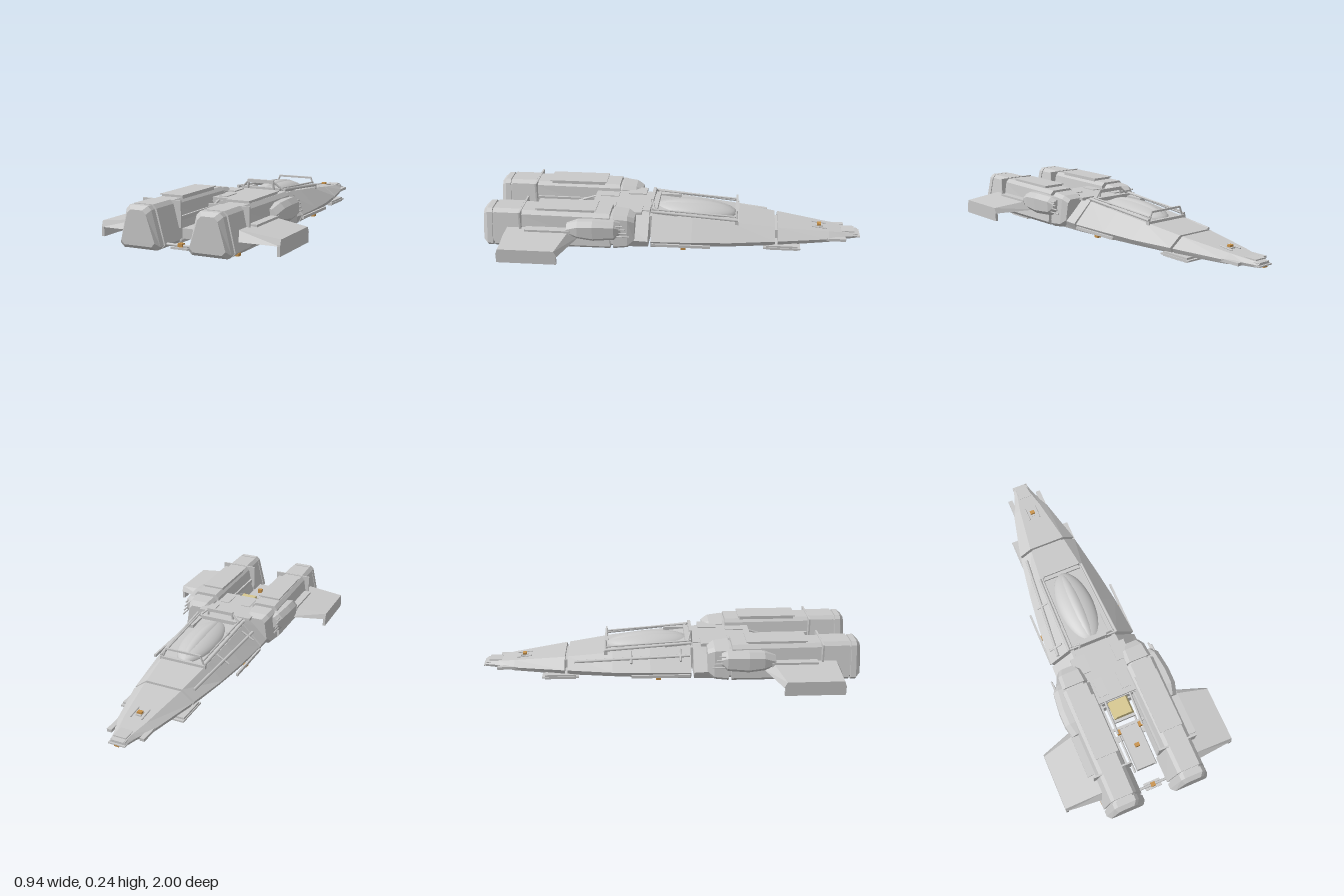
import * as THREE from 'three';

export function createModel() {
  const ship = new THREE.Group();
  ship.name = 'starship';
  const mat = (name, color) => {
    const m = new THREE.MeshStandardMaterial({ color });
    m.name = name;
    return m;
  };
  const grey = mat('hull grey', 0xc9c9c9);
  const tan = mat('engine tan', 0xd6c790);
  const amber = mat('lamp amber', 0xc8924a);

  const add = (name, geo, m = grey) => {
    const mesh = new THREE.Mesh(geo, m);
    mesh.name = name;
    ship.add(mesh);
    return mesh;
  };
  // box given by its extents
  const box = (name, x0, x1, y0, y1, z0, z1, m) => {
    const g = new THREE.BoxGeometry(Math.abs(x1 - x0), y1 - y0, z1 - z0);
    return add(name, g.translate((x0 + x1) / 2, (y0 + y1) / 2, (z0 + z1) / 2), m);
  };
  // round rod between two points
  const rod = (name, a, b, r, m) => {
    const p = new THREE.Vector3(...a), q = new THREE.Vector3(...b);
    const mesh = add(name, new THREE.CylinderGeometry(r, r, p.distanceTo(q), 8), m);
    mesh.position.copy(p).lerp(q, 0.5);
    mesh.quaternion.setFromUnitVectors(new THREE.Vector3(0, 1, 0), q.sub(p).normalize());
    return mesh;
  };
  // faceted loft through counter-clockwise sections [{ z, p: [[x, y], ...] }], z rising
  const loft = (name, sections, side = 1, m) => {
    const rings = sections.map(({ z, p }) => {
      const ring = p.map(([x, y]) => [x * side, y, z]);
      return side < 0 ? ring.reverse() : ring;
    });
    const v = [], n = rings[0].length;
    const tri = (a, b, c) => v.push(...a, ...b, ...c);
    for (let i = 0; i < rings.length - 1; i++) {
      for (let j = 0; j < n; j++) {
        const k = (j + 1) % n, r = rings[i], s = rings[i + 1];
        tri(r[j], r[k], s[k]);
        tri(r[j], s[k], s[j]);
      }
    }
    const first = rings[0], last = rings[rings.length - 1];
    for (let j = 1; j < n - 1; j++) {
      tri(first[0], first[j + 1], first[j]);
      tri(last[0], last[j], last[j + 1]);
    }
    const g = new THREE.BufferGeometry();
    g.setAttribute('position', new THREE.Float32BufferAttribute(v, 3));
    g.computeVertexNormals();
    return add(name, g, m);
  };

  // Hull: flat belly, low chine, sloping sides, narrow deck
  const hull = (z, w, t, h, chine = 0.06, b = 0.032) => ({
    z, p: [[-w * 0.92, b], [w * 0.92, b], [w, chine], [t, h], [-t, h], [-w, chine]],
  });
  loft('noseHull', [
    hull(-0.99, 0.04, 0.03, 0.058, 0.048, 0.036), hull(-0.92, 0.06, 0.04, 0.066, 0.05, 0.035),
    hull(-0.83, 0.1, 0.06, 0.078, 0.052), hull(-0.555, 0.165, 0.1, 0.11),
  ]);
  loft('cockpitHull', [
    hull(-0.54, 0.167, 0.1, 0.112), hull(-0.3, 0.205, 0.125, 0.142),
    hull(-0.1, 0.23, 0.135, 0.162, 0.066), hull(0.115, 0.245, 0.14, 0.182, 0.07, 0.03),
  ]);
  loft('rearHull', [
    hull(0.13, 0.245, 0.13, 0.184, 0.07, 0.03), hull(0.31, 0.25, 0.13, 0.188, 0.08, 0.03),
  ]);
  box('noseJoint', -0.09, 0.09, 0.042, 0.09, -0.57, -0.53);
  box('rearJoint', -0.13, 0.13, 0.04, 0.165, 0.1, 0.15);
  box('rearDeck', -0.115, 0.115, 0.1, 0.19, 0.13, 0.45);
  box('rearBelly', -0.11, 0.11, 0.03, 0.1, 0.3, 0.46);

  // Nose tip, sensor plates and deck dashes
  for (let i = 0; i < 3; i++) {
    box('noseSensor', -0.045 + i * 0.006, 0.045 - i * 0.006, 0.04 + i * 0.012, 0.046 + i * 0.012, -1 + i * 0.015, -0.93 + i * 0.015);
  }
  box('noseSpine', -0.015, 0.015, 0.07, 0.088, -0.8, -0.76);
  for (const x of [-0.03, 0.03]) {
    rod('deckProbe', [x, 0.082, -0.82], [x, 0.09, -0.74], 0.004);
  }

  // Canopy with raised centre pane
  const dome = (name, w, h, l, y) => {
    const g = new THREE.SphereGeometry(1, 32, 16).scale(w, h, l);
    g.rotateX(-0.05).translate(0, y, -0.11);
    return add(name, g);
  };
  dome('canopy', 0.1, 0.052, 0.225, 0.15);
  dome('canopyCentrePane', 0.052, 0.06, 0.222, 0.148);
  box('windshieldSill', -0.13, 0.13, 0.13, 0.15, -0.345, -0.325);
  box('windshieldBar', -0.1, 0.1, 0.19, 0.2, -0.338, -0.328);
  box('cockpitBulkhead', -0.11, 0.11, 0.165, 0.2, 0.09, 0.12);
  box('rollBar', -0.075, 0.075, 0.222, 0.24, 0.112, 0.128);

  for (const s of [-1, 1]) {
    // Cockpit frame
    rod('windshieldPost', [s * 0.12, 0.14, -0.333], [s * 0.097, 0.198, -0.333], 0.005);
    rod('rollBarPost', [s * 0.08, 0.17, 0.12], [s * 0.07, 0.235, 0.12], 0.007);
    rod('rollBarBrace', [s * 0.125, 0.185, 0.1], [s * 0.07, 0.235, 0.12], 0.005);
    rod('canopyRail', [s * 0.125, 0.155, -0.34], [s * 0.138, 0.195, 0.12], 0.008);
    rod('canopySideStrut', [s * 0.112, 0.17, -0.33], [s * 0.12, 0.2, 0.11], 0.005);
    box('cockpitLedge', s * 0.1, s * 0.135, 0.15, 0.188, -0.02, 0.1);

    // Hull side plates, thin rails and deck boxes
    box('nosePlate', s * 0.075, s * 0.1, 0.04, 0.055, -0.92, -0.81);
    box('sideRail', s * 0.238, s * 0.249, 0.045, 0.06, -0.2, 0.11);
    box('deckBox', s * 0.075, s * 0.155, 0.18, 0.196, 0.17, 0.27);
    box('deckVent', s * 0.04, s * 0.09, 0.188, 0.194, 0.32, 0.42);

    // Engine: chamfered trapezoid tube in stages
    const eng = (z, b, t, y0, y1, c = 0.018) => ({
      z, p: [[0.18 - b + c, y0], [0.18 + b - c, y0], [0.18 + b, y0 + c], [0.183 + t, y1 - c],
        [0.183 + t - c, y1], [0.183 - t + c, y1], [0.183 - t, y1 - c], [0.18 - b, y0 + c]],
    });
    loft('engineIntake', [
      eng(0.2, 0.068, 0.05, 0.06, 0.19), eng(0.235, 0.085, 0.065, 0.035, 0.208), eng(0.31, 0.09, 0.07, 0.028, 0.216),
    ], s);
    loft('engineNeck', [eng(0.305, 0.08, 0.06, 0.04, 0.205), eng(0.335, 0.08, 0.06, 0.04, 0.205)], s);
    loft('engineBody', [
      eng(0.325, 0.098, 0.075, 0.032, 0.224), eng(0.81, 0.1, 0.07, 0.032, 0.226),
    ], s);
    loft('engineRing', [eng(0.8, 0.107, 0.069, 0.03, 0.231), eng(0.94, 0.107, 0.068, 0.03, 0.231)], s);
    loft('engineGroove', [eng(0.935, 0.098, 0.06, 0.038, 0.222), eng(0.955, 0.098, 0.06, 0.038, 0.222)], s);
    loft('engineCap', [
      eng(0.95, 0.107, 0.066, 0.03, 0.23), eng(0.978, 0.107, 0.066, 0.03, 0.23), eng(1, 0.09, 0.05, 0.048, 0.212),
    ], s);
    box('engineBulkhead', s * 0.075, s * 0.284, 0.1, 0.23, 0.792, 0.801);
    box('engineTopHatch', s * 0.12, s * 0.236, 0.22, 0.234, 0.41, 0.71);
    box('engineTopLid', s * 0.116, s * 0.24, 0.234, 0.239, 0.4, 0.72);
    box('engineInnerRail', s * 0.09, s * 0.115, 0.13, 0.15, 0.45, 0.79);

    // Side pod with prongs
    const pod = (z, x1, y0, y1) => ({
      z, p: [[0.22, y0], [x1 - 0.02, y0], [x1, y0 + 0.02], [x1, y1 - 0.025], [x1 - 0.025, y1], [0.22, y1]],
    });
    loft('sidePod', [
      pod(0.27, 0.285, 0.12, 0.182), pod(0.3, 0.302, 0.095, 0.197), pod(0.41, 0.314, 0.09, 0.202),
      pod(0.49, 0.313, 0.1, 0.198), pod(0.55, 0.298, 0.115, 0.175),
    ], s);
    for (let i = 0; i < 4; i++) {
      rod('podProng', [s * 0.285, 0.115 + i * 0.02, 0.31], [s * 0.285, 0.115 + i * 0.02, 0.22 + i * 0.012], 0.004);
    }
    box('podFairing', s * 0.25, s * 0.305, 0.1, 0.145, 0.53, 0.77);

    // Tapered wing and hanging tip fin
    const wingShape = (y, x, z) => [x * s, y, z];
    const root = [[0.09, 0.49], [0.14, 0.53], [0.14, 0.87], [0.09, 0.9]];
    const tip = [[0.085, 0.565], [0.115, 0.58], [0.115, 0.87], [0.085, 0.88]];
    const r = root.map(([y, z]) => wingShape(y, 0.25, z));
    const t = tip.map(([y, z]) => wingShape(y, 0.47, z));
    const v = [];
    const quad = (a, b, c, d) => v.push(...(s > 0 ? [a, b, c, a, c, d] : [a, c, b, a, d, c]).flat());
    for (let i = 0; i < 4; i++) {
      const k = (i + 1) % 4;
      quad(r[i], r[k], t[k], t[i]);
    }
    quad(t[0], t[1], t[2], t[3]);
    quad(r[3], r[2], r[1], r[0]);
    const wing = new THREE.BufferGeometry();
    wing.setAttribute('position', new THREE.Float32BufferAttribute(v, 3));
    wing.computeVertexNormals();
    add('wing', wing);
    box('wingTipFin', s * 0.456, s * 0.47, 0.04, 0.09, 0.57, 0.88);

    // Lamps
    box('wingRootLamp', s * 0.265, s * 0.287, 0.03, 0.043, 0.89, 0.915, amber);
    box('hullSideLamp', s * 0.222, s * 0.243, 0.03, 0.045, -0.07, -0.045, amber);
    box('bayLamp', s * 0.052, s * 0.07, 0.095, 0.122, 0.6, 0.625, amber);
    // Bay struts
    rod('bayUpperStrut', [s * 0.07, 0.18, 0.44], [s * 0.07, 0.12, 0.62], 0.006);
    rod('bayLowerStrut', [s * 0.06, 0.06, 0.44], [s * 0.06, 0.05, 0.83], 0.006);
  }

  // Ribbed landing pads
  const pad = (name, x0, x1, y, z0, z1) => {
    box(name, x0, x1, y + 0.006, 0.036, z0 + 0.015, z1 - 0.015);
    box(name + 'Rim', x0 - 0.004, x1 + 0.004, y + 0.012, y + 0.02, z0, z1);
    for (let i = 0; i < 5; i++) {
      const z = z0 + 0.03 + (z1 - z0 - 0.075) * i / 4;
      box(name + 'Rib', x0 + 0.012, x1 - 0.012, y, y + 0.007, z, z + 0.015);
    }
  };
  pad('centrePad', -0.065, 0.065, 0, -0.15, 0.04);
  for (const s of [-1, 1]) {
    pad('frontPad', s * 0.12 - 0.05, s * 0.12 + 0.05, 0.006, -0.675, -0.48);
    pad('rearPad', s * 0.175 - 0.068, s * 0.175 + 0.068, 0.01, 0.58, 0.77);
  }

  // Engine bay between the nacelles
  const tanEnd = (z) => ({ z, p: [[-0.055, 0.105], [0.055, 0.105], [0.055, 0.13], [0.042, 0.16], [-0.042, 0.16], [-0.055, 0.13]] });
  loft('reactor', [tanEnd(0.44), tanEnd(0.545)], 1, tan);
  box('reactorCollar', -0.058, 0.058, 0.09, 0.115, 0.535, 0.56);
  box('bayCore', -0.05, 0.05, 0.06, 0.108, 0.6, 0.83);
  box('bayCrossbar', -0.09, 0.09, 0.1, 0.112, 0.585, 0.6);
  box('bayUpperBar', -0.11, 0.11, 0.165, 0.175, 0.44, 0.455);
  box('bayFloorBeam', -0.1, 0.1, 0.04, 0.055, 0.62, 0.65);
  rod('rearCrossbar', [-0.11, 0.05, 0.92], [0.11, 0.05, 0.92], 0.007);
  box('rearCrossPlate', -0.045, 0.045, 0.035, 0.045, 0.9, 0.94);

  // Centreline lamps
  box('coreLamp', -0.012, 0.012, 0.108, 0.13, 0.7, 0.72, amber);
  box('rearLamp', -0.012, 0.012, 0.045, 0.062, 0.91, 0.932, amber);
  box('noseDeckLamp', -0.013, 0.013, 0.086, 0.098, -0.79, -0.77, amber);
  box('noseTipLamp', -0.012, 0.012, 0.034, 0.042, -1, -0.975, amber);

  // Long conduit along the right flank
  rod('flankConduit', [-0.145, 0.1, -0.5], [-0.2, 0.15, 0.11], 0.008);
  for (const [x, y, z] of [[-0.168, 0.118, -0.2], [-0.198, 0.14, 0.06]]) {
    rod('conduitClamp', [x - 0.03, y - 0.01, z], [x + 0.04, y + 0.03, z], 0.006);
  }
  return ship;
}
